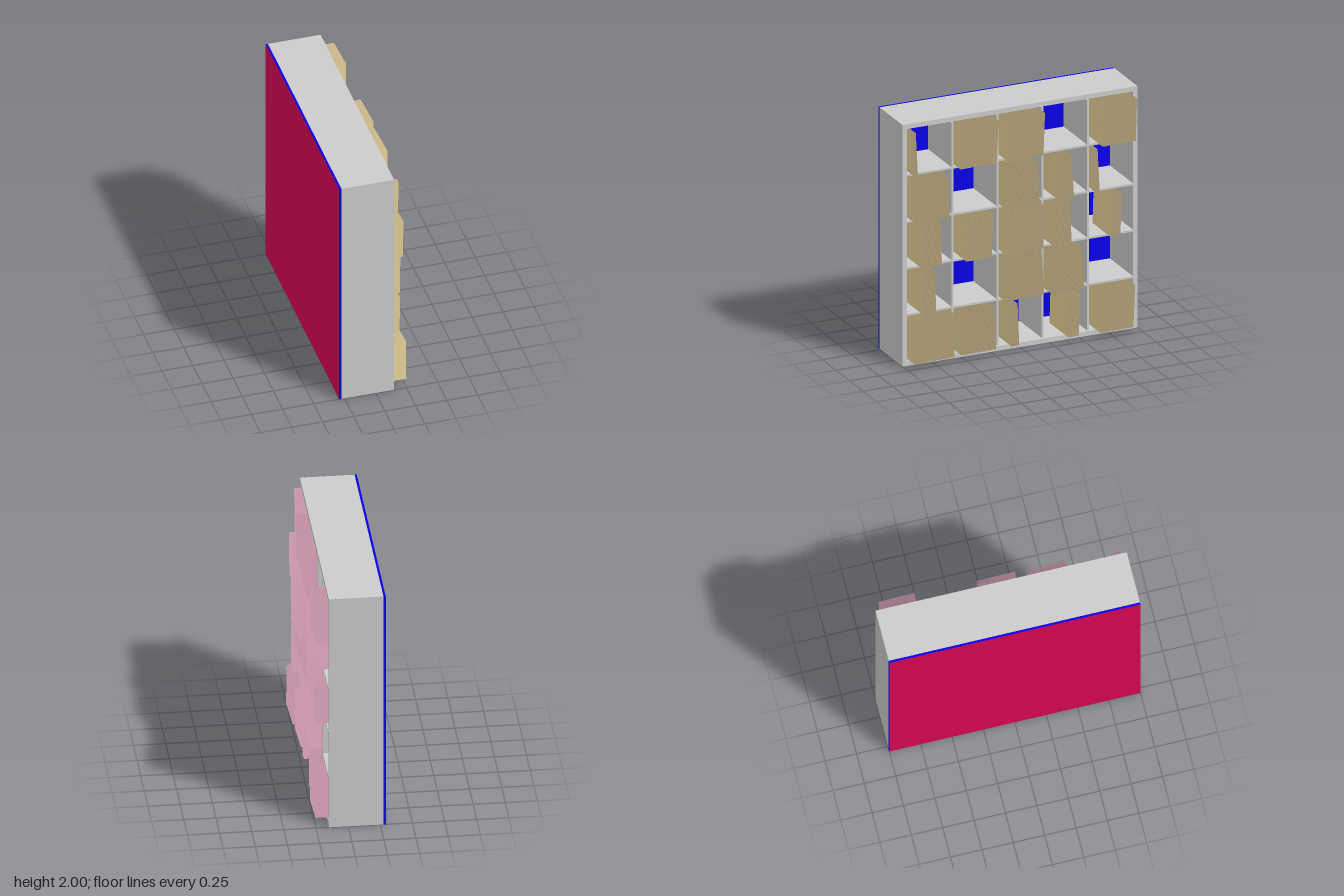
import * as THREE from 'three';
import { mergeGeometries } from 'three/addons/utils/BufferGeometryUtils.js';

export function createModel() {
  const model = new THREE.Group();
  const grey = new THREE.MeshStandardMaterial({ color: 0xcccccc });
  const blue = new THREE.MeshStandardMaterial({ color: 0x0902e8 });
  const maroon = new THREE.MeshStandardMaterial({ color: 0xdc0557 });
  const tan = new THREE.MeshStandardMaterial({ color: 0xe8d49a, side: THREE.DoubleSide });
  const pink = new THREE.MeshStandardMaterial({ color: 0xeaacc9, side: THREE.DoubleSide });

  const backX = -0.275, frontX = 0.15, depth = frontX - backX, midX = (frontX + backX) / 2;
  const wall = 0.038, board = 0.016, inner = 2 - 2 * wall, pitch = inner / 5;

  function box(name, w, h, d, x, y, z, material = grey) {
    const mesh = new THREE.Mesh(new THREE.BoxGeometry(w, h, d), material);
    mesh.name = name;
    mesh.position.set(x, y, z);
    model.add(mesh);
  }

  // Outer case: top and bottom boards run the full width, sides sit between
  box('bottomBoard', depth, wall, 2, midX, wall / 2, 0);
  box('topBoard', depth, wall, 2, midX, 2 - wall / 2, 0);
  for (const s of [-1, 1]) box('sideBoard', depth, inner, wall, midX, 1, s * (1 - wall / 2));

  // Thin back panel, blue inside and maroon behind
  box('backPanel', 0.018, 2, 2, backX - 0.009, 1, 0, [blue, maroon, blue, blue, blue, blue]);

  // Shelves and dividers making the five by five grid
  for (let i = 1; i < 5; i++) {
    const p = -inner / 2 + i * pitch;
    box('shelf', depth, board, inner, midX, 1 + p, 0);
    for (let r = 0; r < 5; r++) {
      box('divider', depth, pitch - board, board, midX, wall + (r + 0.5) * pitch, p);
    }
  }

  // Stacks of square sleeves: row from top, column from +z, stack start and end, overhang, lean
  const stacks = [
    [0, 0, 0, 0.06, 0.05, 0.05], [0, 1, 0.02, 0.35, 0.085, -0.05], [0, 2, 0.04, 0.36, 0.09, -0.04],
    [0, 4, 0.07, 0.365, 0.105, -0.03],
    [1, 0, 0, 0.32, 0.09, 0.06], [1, 2, 0, 0.29, 0.142, 0.04], [1, 3, 0.06, 0.22, 0.09, 0.06],
    [1, 4, 0.01, 0.07, 0.05, 0.05],
    [2, 0, 0.07, 0.25, 0.085, 0.03], [2, 1, 0.07, 0.30, 0.09, -0.04], [2, 2, 0.02, 0.36, 0.09, -0.04],
    [2, 3, 0.04, 0.20, 0.085, 0.03], [2, 4, 0.15, 0.24, 0.09, -0.03],
    [3, 0, 0.08, 0.20, 0.085, 0.03], [3, 2, 0, 0.35, 0.09, 0.05], [3, 3, 0, 0.31, 0.09, 0.07],
    [4, 0, 0, 0.36, 0.112, -0.04], [4, 1, 0.01, 0.33, 0.09, 0.05], [4, 2, 0.06, 0.14, 0.08, 0.04],
    [4, 3, 0.17, 0.27, 0.085, -0.03], [4, 4, 0.05, 0.35, 0.105, -0.04],
  ];
  const size = 0.35, gap = 0.004, thickness = 0.0003;
  for (const [row, col, start, end, overhang, lean] of stacks) {
    const shift = size * Math.sin(lean);
    const count = Math.floor((end - start - Math.abs(shift)) / gap) + 1;
    const floorY = wall + (4 - row) * pitch + board / 2 + 0.002;
    const startZ = inner / 2 - col * pitch - board / 2 - 0.003 - start - Math.max(0, shift);
    const stack = new THREE.Group();
    stack.name = 'sleeveStack';
    // Each sleeve is a tan front sheet with a pink back sheet just behind it
    for (const [name, material, turn, offset] of [
      ['sleeveFronts', tan, 0, 0],
      ['sleeveBacks', pink, Math.PI, -thickness],
    ]) {
      const sheets = [];
      for (let i = 0; i < count; i++) {
        const out = overhang - 0.04 * i * gap;
        sheets.push(new THREE.PlaneGeometry(size, size)
          .rotateY(turn)
          .translate(frontX + out - size / 2, size / 2, 0)
          .rotateX(lean)
          .translate(0, floorY, startZ - i * gap + offset));
      }
      const mesh = new THREE.Mesh(mergeGeometries(sheets), material);
      mesh.name = name;
      stack.add(mesh);
    }
    model.add(stack);
  }
  return model;
}
